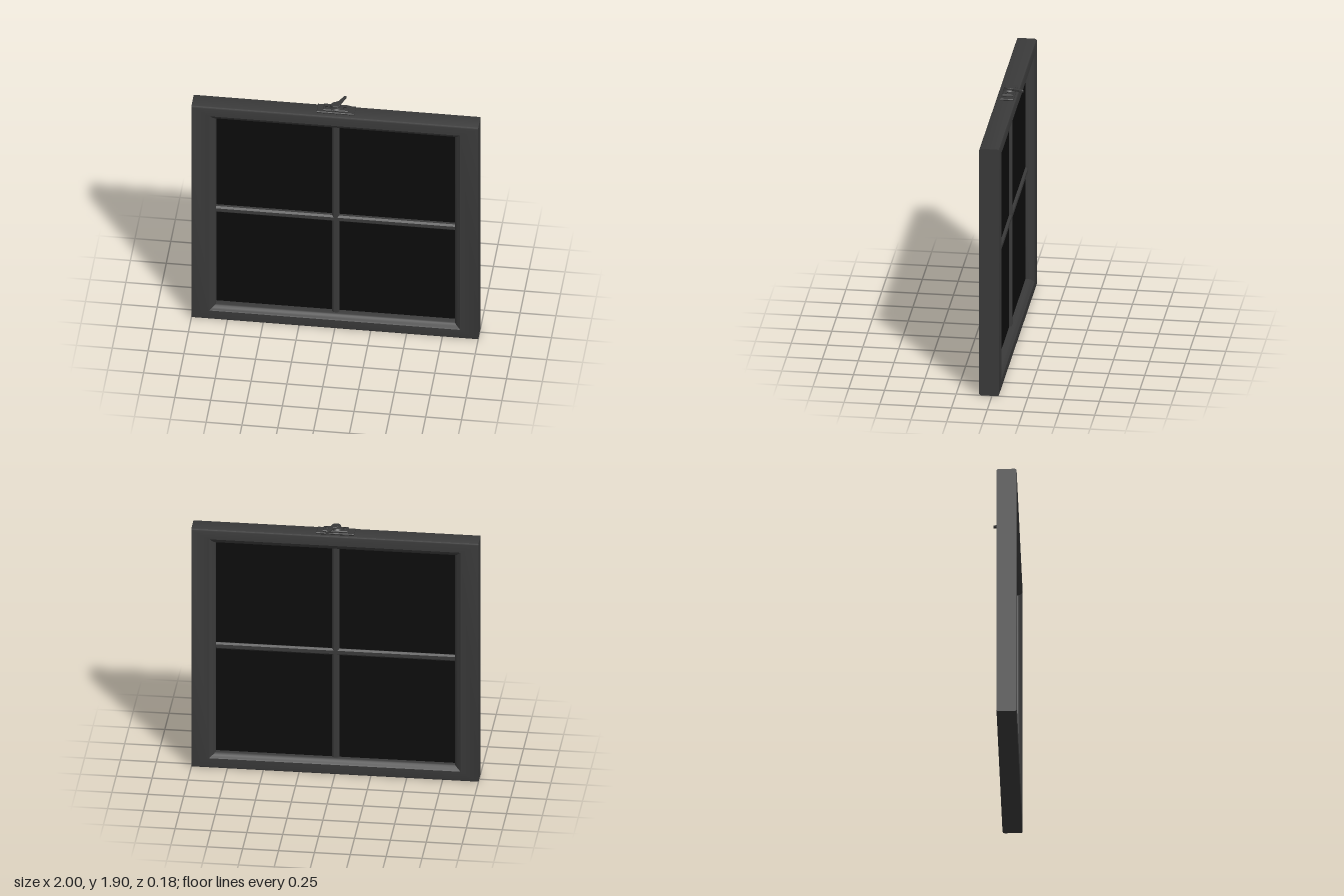
import * as THREE from 'three';
import { toCreasedNormals } from 'three/addons/utils/BufferGeometryUtils.js';

const H = 1.85, ZC = 0.02; // sash height and mid-depth
const paint = new THREE.MeshStandardMaterial({ color: 0x3a3a3a });
const dark = new THREE.MeshStandardMaterial({ color: 0x0c0c0c });

function add(group, name, geometry, material, x = 0, y = 0, z = 0) {
  const mesh = new THREE.Mesh(geometry, material);
  mesh.name = name;
  mesh.position.set(x, y, z);
  group.add(mesh);
  return mesh;
}

// Sweeps a profile of [side inset, rail inset, z] around a mitred rectangle
function frameGeometry(profile) {
  const corners = [[1, 1], [-1, 1], [-1, -1], [1, -1]];
  const point = (c, k) => {
    const [sx, sy] = corners[c % 4];
    const [ix, iy, z] = profile[k % profile.length];
    return [sx * (1 - ix), H / 2 + sy * (H / 2 - iy), z];
  };
  const pos = [];
  for (let c = 0; c < 4; c++) {
    for (let k = 0; k < profile.length; k++) {
      const p = point(c, k), q = point(c + 1, k), r = point(c + 1, k + 1), s = point(c, k + 1);
      pos.push(...p, ...q, ...r, ...p, ...r, ...s);
    }
  }
  const g = new THREE.BufferGeometry();
  g.setAttribute('position', new THREE.Float32BufferAttribute(pos, 3));
  return toCreasedNormals(g, 0.6);
}

// Flat outline in plan (x, z) raised to a height, with a bevelled top edge
function plate(points, height, bevel) {
  const shape = new THREE.Shape(points.map(([x, z]) => new THREE.Vector2(x, -z)));
  return new THREE.ExtrudeGeometry(shape, {
    depth: height - 2 * bevel, bevelEnabled: true, bevelSize: bevel, bevelOffset: -bevel,
    bevelThickness: bevel, bevelSegments: 1,
  }).rotateX(-Math.PI / 2).translate(0, bevel, 0);
}

const rect = (hx, hz) => [[-hx, hz], [hx, hz], [hx, -hz], [-hx, -hz]];

// Chamfered glazing bar running along y
function barGeometry(length) {
  const w = 0.025, d = 0.028, c = 0.012;
  const shape = new THREE.Shape([
    [w, d - c], [w - c, d], [c - w, d], [-w, d - c],
    [-w, c - d], [c - w, -d], [w - c, -d], [w, c - d],
  ].map(([x, y]) => new THREE.Vector2(x, y)));
  return new THREE.ExtrudeGeometry(shape, { depth: length, bevelEnabled: false })
    .translate(0, 0, -length / 2).rotateX(-Math.PI / 2);
}

export function createModel() {
  const model = new THREE.Group();

  // Frame: rounded outer rail edges, moulded inner edge on both faces
  const half = [
    [0, 0.013, 0.07], [0, 0.004, 0.066], [0, 0, 0.057],
  ];
  const inner = [
    [0.125, 0.076, 0.07], [0.133, 0.084, 0.064], [0.148, 0.098, 0.057],
    [0.16, 0.108, 0.046], [0.166, 0.113, 0.036],
  ];
  const flip = ([a, b, z]) => [a, b, -z];
  const profile = [
    ...half.slice().reverse(), ...inner,
    ...inner.slice().reverse().map(flip), ...half.map(flip),
  ].map(([a, b, z]) => [a, b, z + ZC]);
  add(model, 'sashFrame', frameGeometry(profile), paint);

  // Glass pane
  add(model, 'glassPane', new THREE.BoxGeometry(1.7, 1.66, 0.008), dark, 0, H / 2, 0.012);

  // Glazing bars
  add(model, 'verticalBar', barGeometry(1.64), paint, 0, H / 2, ZC);
  for (const s of [-1, 1]) {
    const bar = add(model, 'horizontalBar', barGeometry(0.825), paint, s * 0.426, H / 2 + 0.003, ZC);
    bar.rotation.z = Math.PI / 2;
  }

  // Latch on the top rail
  const latch = new THREE.Group();
  latch.name = 'latch';
  latch.position.set(0, H, 0.012);
  model.add(latch);
  add(latch, 'basePlate', plate(rect(0.132, 0.046), 0.015, 0.004), paint);
  add(latch, 'raisedPlate', plate(rect(0.088, 0.037), 0.016, 0.005), paint, 0, 0.013);
  add(latch, 'pivotCollar', new THREE.CylinderGeometry(0.034, 0.042, 0.012, 24), paint, -0.004, 0.034, 0.002);
  add(latch, 'pivotCap', new THREE.CylinderGeometry(0.031, 0.034, 0.014, 24), paint, -0.004, 0.046, 0.002);
  for (const s of [-1, 1]) {
    add(latch, 'screw', new THREE.CylinderGeometry(0.012, 0.014, 0.006, 16), paint, s * 0.063, 0.031, 0.006);
    add(latch, 'screwSlot', new THREE.BoxGeometry(0.02, 0.002, 0.003), dark, s * 0.063, 0.0345, 0.006);
  }
  // Tapered lever swung out behind the sash
  add(latch, 'lever', plate([
    [-0.034, 0.012], [-0.018, 0.03], [0.014, 0.03], [0.03, 0.008], [0.034, -0.03],
    [0.06, -0.098], [0.056, -0.106], [0.044, -0.104], [0.012, -0.042], [-0.02, -0.022],
  ], 0.018, 0.003), paint, 0, 0.037);

  return model;
}
